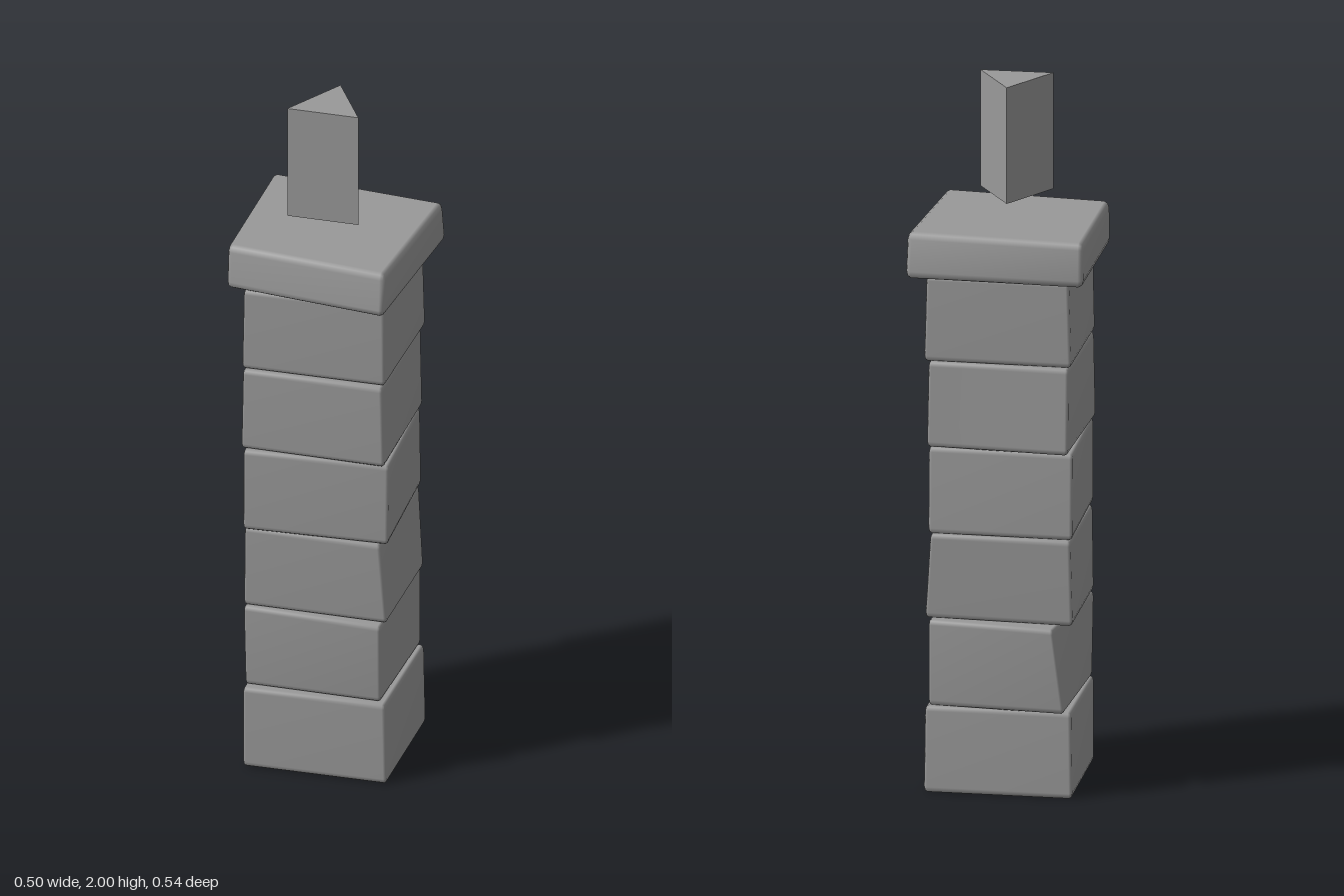
import * as THREE from 'three';
import { RoundedBoxGeometry } from 'three/addons/geometries/RoundedBoxGeometry.js';
import { mergeVertices } from 'three/addons/utils/BufferGeometryUtils.js';

// Corner order: back left, back right, front right, front left, as [x, z] seen from the front
const mix = THREE.MathUtils.lerp;

function cornerBlend(c, u, w, k) {
  return mix(mix(c[0][k], c[1][k], u), mix(c[3][k], c[2][k], u), w);
}

// Bevelled stone whose eight corners are moved to the given places.
// The wide starting box makes the upright edges tighter than the level ones.
function stoneGeometry(y0, y1, bottom, top, radius, openBottom = false) {
  const size = 0.7, h = y1 - y0;
  let geo = new RoundedBoxGeometry(size, h, size, 1, radius);
  if (geo.index) geo = geo.toNonIndexed();
  const pos = geo.attributes.position;
  const kept = [];
  for (let i = 0; i < pos.count; i += 3) {
    const tri = [i, i + 1, i + 2];
    if (openBottom && tri.every((j) => pos.getY(j) < -h / 2 + 1e-4)) continue;
    for (const j of tri) {
      const u = pos.getX(j) / size + 0.5;
      const v = pos.getY(j) / h + 0.5;
      const w = pos.getZ(j) / size + 0.5;
      kept.push(
        mix(cornerBlend(bottom, u, w, 0), cornerBlend(top, u, w, 0), v),
        mix(y0, y1, v),
        mix(cornerBlend(bottom, u, w, 1), cornerBlend(top, u, w, 1), v)
      );
    }
  }
  const out = new THREE.BufferGeometry();
  out.setAttribute('position', new THREE.Float32BufferAttribute(kept, 3));
  const merged = mergeVertices(out, 1e-5);
  merged.computeVertexNormals();
  return merged;
}

export function createModel() {
  const model = new THREE.Group();
  model.name = 'chimney';
  const color = 0x999999;
  const stone = new THREE.MeshStandardMaterial({ color });
  const shell = new THREE.MeshStandardMaterial({ color, side: THREE.DoubleSide });

  // Stacked, uneven column blocks: bottom corners, then top corners
  const blocks = [
    [[[-0.21, -0.21], [0.207, -0.2], [0.207, 0.2], [-0.205, 0.203]],
      [[-0.205, -0.2], [0.205, -0.19], [0.202, 0.2], [-0.205, 0.203]]],
    [[[-0.19, -0.228], [0.195, -0.19], [0.187, 0.19], [-0.203, 0.187]],
      [[-0.16, -0.243], [0.195, -0.19], [0.192, 0.212], [-0.208, 0.19]]],
    [[[-0.21, -0.205], [0.207, -0.175], [0.205, 0.19], [-0.207, 0.188]],
      [[-0.205, -0.212], [0.19, -0.19], [0.187, 0.198], [-0.203, 0.193]]],
    [[[-0.21, -0.21], [0.195, -0.195], [0.21, 0.195], [-0.202, 0.213]],
      [[-0.21, -0.2], [0.195, -0.182], [0.212, 0.195], [-0.202, 0.21]]],
    [[[-0.2, -0.227], [0.2, -0.19], [0.203, 0.21], [-0.21, 0.205]],
      [[-0.2, -0.213], [0.195, -0.19], [0.197, 0.21], [-0.205, 0.205]]],
    [[[-0.207, -0.21], [0.207, -0.195], [0.202, 0.2], [-0.208, 0.203]],
      [[-0.2, -0.207], [0.2, -0.195], [0.2, 0.2], [-0.203, 0.203]]],
  ];
  blocks.forEach(([bottom, top], i) => {
    const y = i * 0.247;
    const geo = stoneGeometry(y, y + 0.245, bottom, top, 0.015, i === 0);
    const block = new THREE.Mesh(geo, i === 0 ? shell : stone);
    block.name = `columnBlock${i + 1}`;
    model.add(block);
  });

  // Wider, skewed capstone
  const cap = new THREE.Mesh(
    stoneGeometry(1.483, 1.61,
      [[-0.25, -0.272], [0.252, -0.248], [0.217, 0.27], [-0.25, 0.212]],
      [[-0.25, -0.268], [0.25, -0.222], [0.215, 0.25], [-0.25, 0.198]], 0.02),
    stone
  );
  cap.name = 'capstone';
  model.add(cap);

  // Three-sided prism hovering over the cap
  const prism = new THREE.Mesh(
    new THREE.CylinderGeometry(0.118, 0.118, 0.333, 3),
    new THREE.MeshStandardMaterial({ color, flatShading: true })
  );
  prism.name = 'smokePrism';
  prism.rotation.y = Math.PI;
  prism.position.set(-0.008, 1.8335, 0.027);
  model.add(prism);

  return model;
}
